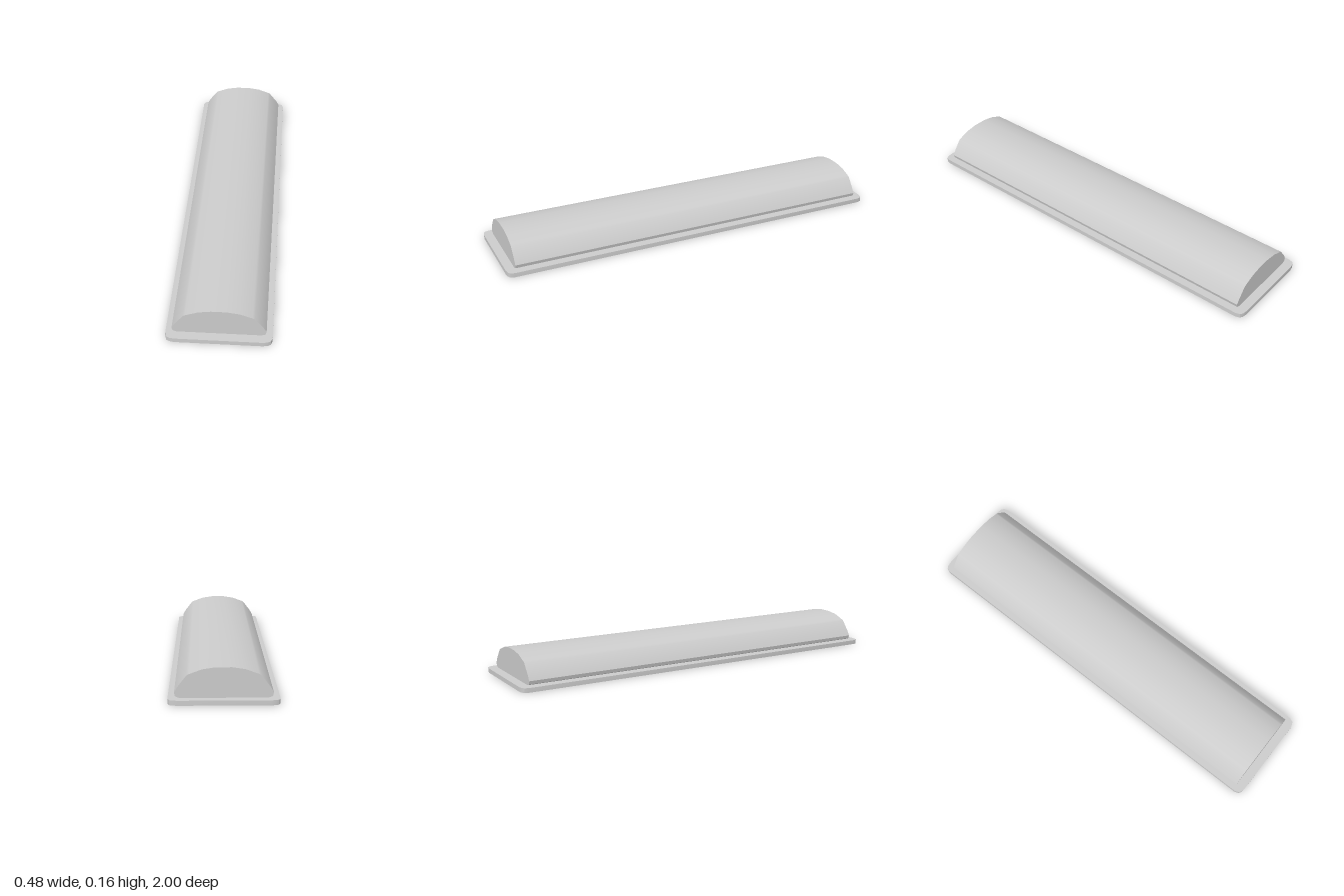
import * as THREE from 'three';
import { toCreasedNormals } from 'three/addons/utils/BufferGeometryUtils.js';

const solid = new THREE.MeshStandardMaterial({ color: 0xcccccc });
const sheet = new THREE.MeshStandardMaterial({ color: 0xcccccc, side: THREE.DoubleSide });

const TRAY_HEIGHT = 0.022;
const COVER_HALF_LENGTH = 0.955;

function addMesh(group, name, geometry, material) {
  const mesh = new THREE.Mesh(toCreasedNormals(geometry, 0.6), material);
  mesh.name = name;
  group.add(mesh);
}

// Tray outline: one rounded corner mirrored into all four, counter-clockwise
function trayOutline() {
  const corner = [[0.242, 0.967], [0.235, 0.988], [0.222, 0.996], [0.2, 1]];
  const mirrored = (sx, sz) => corner.map(([x, z]) => new THREE.Vector2(sx * x, sz * z));
  return [
    ...mirrored(1, 1), ...mirrored(-1, 1).reverse(),
    ...mirrored(-1, -1), ...mirrored(1, -1).reverse(),
  ];
}

// Narrow screw slot, running lengthwise
function slot(x, z) {
  const w = 0.002, l = 0.04;
  return new THREE.Path([
    new THREE.Vector2(x - w, z - l), new THREE.Vector2(x - w, z + l),
    new THREE.Vector2(x + w, z + l), new THREE.Vector2(x + w, z - l),
  ]);
}

// Top sheet of the tray with two mounting slots at each end
function trayTop() {
  const shape = new THREE.Shape(trayOutline());
  for (const x of [-0.055, 0.055])
    for (const z of [-0.89, 0.89]) shape.holes.push(slot(x, z));
  return new THREE.ShapeGeometry(shape).rotateX(-Math.PI / 2).translate(0, TRAY_HEIGHT, 0);
}

// Thin rim around the tray, open underneath
function trayRim() {
  const points = trayOutline();
  const positions = [], indices = [];
  points.forEach(({ x, y }, i) => {
    positions.push(x, 0, -y, x, TRAY_HEIGHT, -y);
    const a = i * 2, b = ((i + 1) % points.length) * 2;
    indices.push(a, b, b + 1, a, b + 1, a + 1);
  });
  const geometry = new THREE.BufferGeometry();
  geometry.setAttribute('position', new THREE.Float32BufferAttribute(positions, 3));
  geometry.setIndex(indices);
  return geometry;
}

// Domed cover: half profile mirrored across x = 0, extruded along z
function domedCover() {
  const half = [
    [0.192, 0.022], [0.21, 0.029], [0.214, 0.0455], [0.2, 0.07],
    [0.161, 0.12], [0.151, 0.126], [0.094, 0.147], [0.036, 0.156],
  ];
  const profile = [...half, ...half.map(([x, y]) => [-x, y]).reverse()];
  const shape = new THREE.Shape(profile.map(([x, y]) => new THREE.Vector2(x, y)));
  return new THREE.ExtrudeGeometry(shape, { depth: COVER_HALF_LENGTH * 2, bevelEnabled: false })
    .translate(0, 0, -COVER_HALF_LENGTH);
}

export function createModel() {
  const group = new THREE.Group();
  group.name = 'lightFixture';
  addMesh(group, 'trayTop', trayTop(), sheet);
  addMesh(group, 'trayRim', trayRim(), sheet);
  addMesh(group, 'domedCover', domedCover(), solid);
  return group;
}
